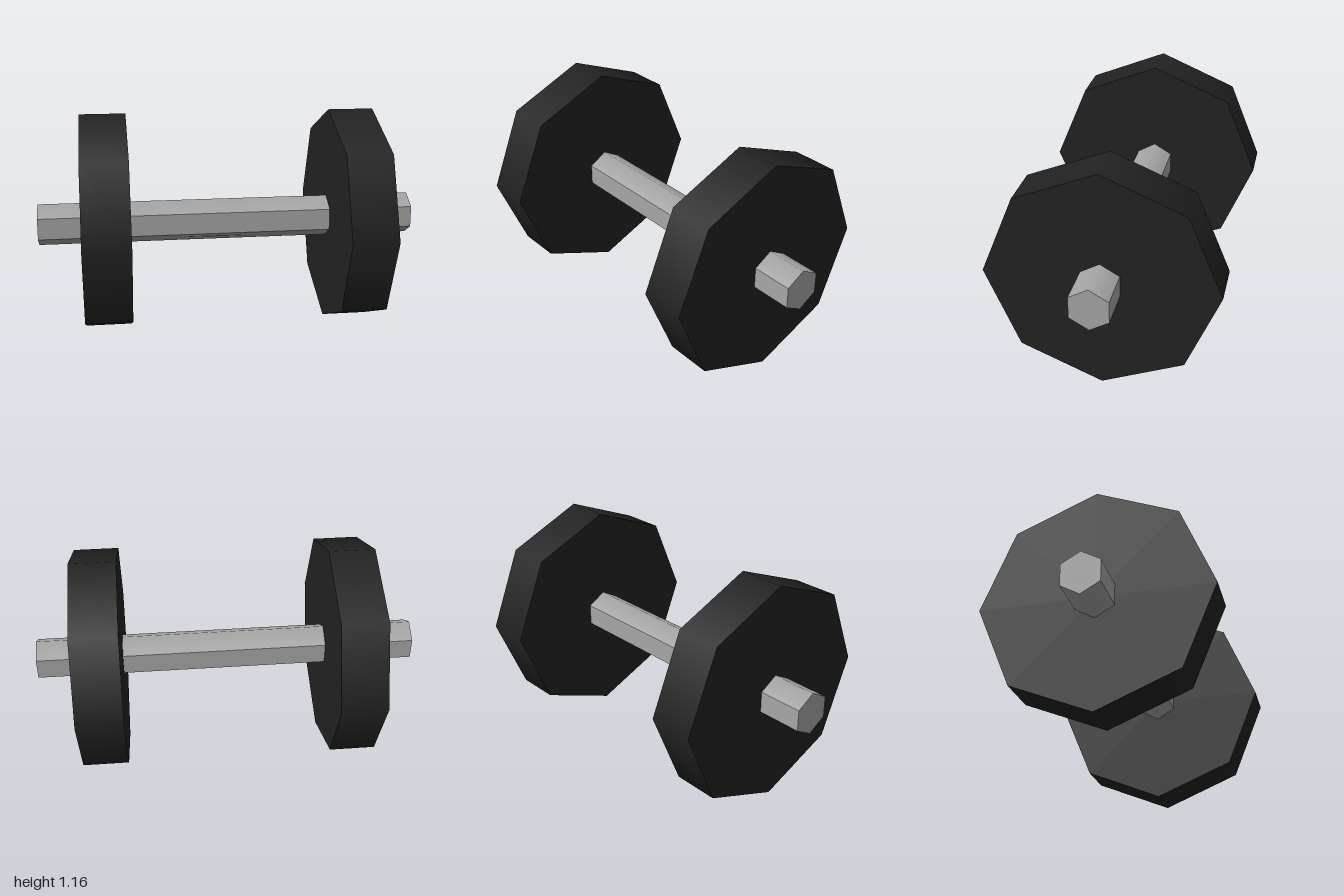
import * as THREE from 'three';

const AXIS_Y = 0.581;

// Prism lying along x with a corner pointing straight up
function prism(radius, length, sides) {
  const g = new THREE.CylinderGeometry(radius, radius, length, sides, 1, false, Math.PI / 2);
  return g.rotateZ(Math.PI / 2);
}

// Hexagonal bar: flat front and back, softened top and bottom ridges
function barGeometry() {
  const g = prism(0.111, 2, 6).toNonIndexed();
  g.computeVertexNormals();
  const p = g.attributes.position, n = g.attributes.normal;
  for (let i = 0; i < p.count; i++) {
    const onSide = Math.abs(n.getX(i)) < 0.5;
    if (onSide && Math.abs(p.getZ(i)) < 1e-4) n.setXYZ(i, 0, Math.sign(p.getY(i)), 0);
  }
  return g;
}

export function createModel() {
  const model = new THREE.Group();
  model.name = 'dumbbell';
  const steel = new THREE.MeshStandardMaterial({ color: 0xa6a6a6 });
  steel.name = 'steel grey';
  const iron = new THREE.MeshStandardMaterial({ color: 0x222222 });
  iron.name = 'iron black';

  const add = (name, geometry, material, x) => {
    const mesh = new THREE.Mesh(geometry, material);
    mesh.name = name;
    mesh.position.set(x, AXIS_Y, 0);
    model.add(mesh);
  };

  // Handle running through both weights
  add('handleBar', barGeometry(), steel, 0);

  // Octagonal weights with smooth rims
  const plate = prism(0.581, 0.24, 8);
  add('rightWeight', plate, iron, -0.648);
  add('leftWeight', plate, iron, 0.667);

  return model;
}
